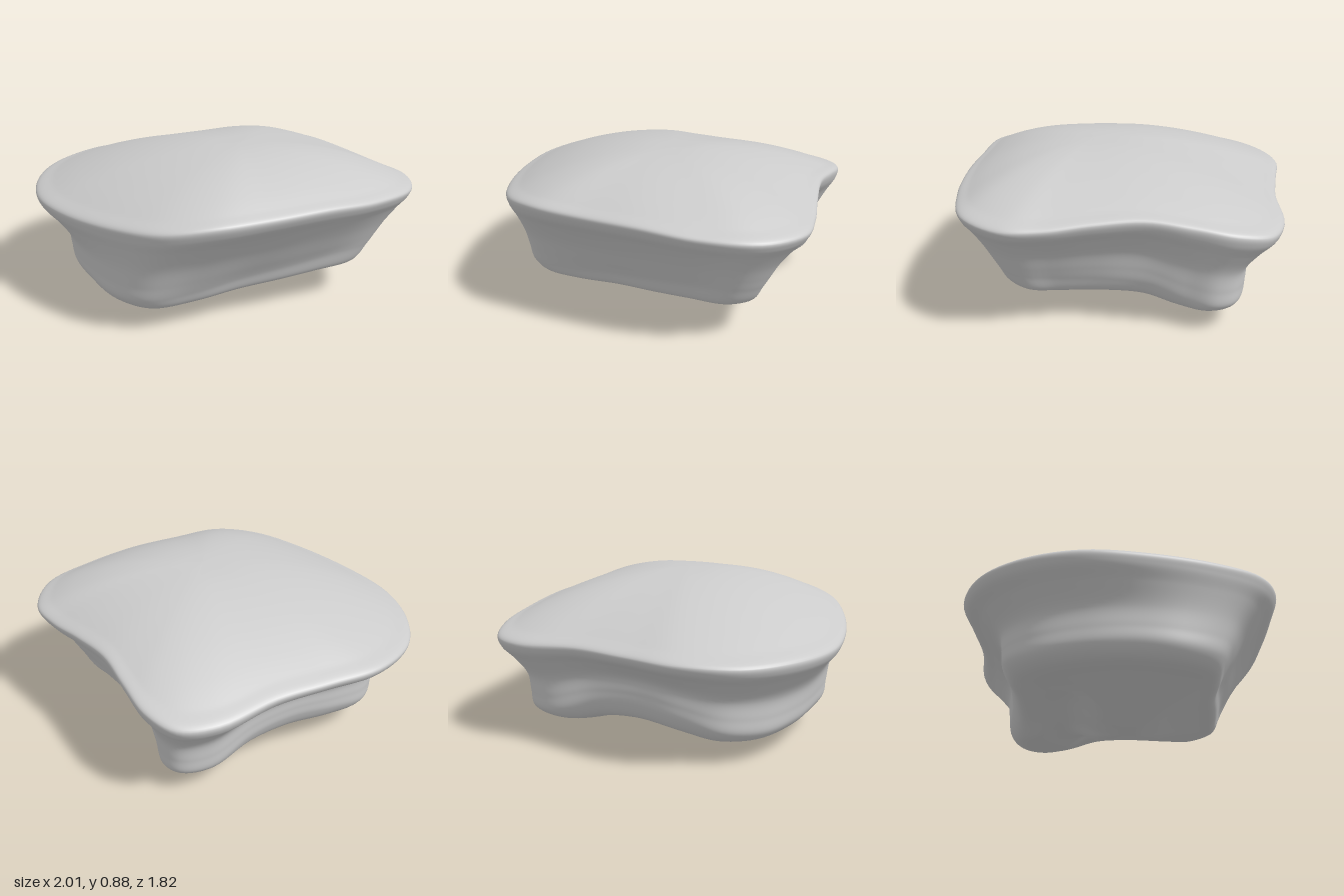
import * as THREE from 'three';
import { mergeVertices } from 'three/addons/utils/BufferGeometryUtils.js';

const V = (x, y, z) => new THREE.Vector3(x, y, z);
const loop = (pts) => new THREE.CatmullRomCurve3(pts.map((p) => V(...p)), true, 'centripetal');

// Outer lip of the stone, running from its left side round the front
const RIM = [
  [.88, .68, 0], [.96, .66, .22], [1, .66, .43], [.88, .67, .67], [.6, .68, .8], [.3, .7, .86],
  [0, .7, .89], [-.3, .7, .9], [-.55, .67, .8], [-.75, .64, .56], [-.93, .61, .2], [-1, .6, -.1],
  [-.95, .6, -.4], [-.8, .6, -.65], [-.52, .61, -.81], [-.22, .61, -.83], [.08, .61, -.845], [.42, .59, -.91],
  [.62, .59, -.86], [.73, .62, -.7], [.77, .66, -.48], [.8, .69, -.25],
];
// Lower ledge where the side walls turn under, station for station with the lip
const LEDGE = [
  [.64, .28, 0], [.71, .29, .25], [.77, .31, .42], [.69, .33, .56], [.45, .31, .58], [.2, .28, .58],
  [-.05, .25, .57], [-.33, .22, .59], [-.58, .2, .57], [-.72, .19, .4], [-.79, .2, .15], [-.81, .19, -.1],
  [-.76, .18, -.35], [-.62, .2, -.53], [-.4, .25, -.6], [-.12, .28, -.62], [.13, .25, -.65], [.38, .17, -.71],
  [.55, .16, -.68], [.61, .16, -.58], [.59, .18, -.42], [.59, .25, -.22],
];
const TOP = V(.08, .88, .18);
const BOTTOM = V(-.04, 0, .05);

// Vertical profile through one station: dome, lip, wall, ledge, belly
function profile(rim, ledge) {
  const fullness = 2.1 + .1 * rim.x + .25 * rim.z;
  const dome = (f) => {
    const p = TOP.clone().lerp(rim, f);
    p.y = THREE.MathUtils.lerp(TOP.y, rim.y, f ** fullness);
    return p;
  };
  // walls are more undercut at the back and right than at the front and left
  const tuck = .74 - .06 * rim.x - .16 * rim.z;
  const wall = (h, v) => {
    const p = rim.clone().lerp(ledge, h);
    p.y = THREE.MathUtils.lerp(rim.y, ledge.y, v);
    return p;
  };
  // the belly sinks steadily, apart from a hollow behind the back feet
  const hollow = .12 * THREE.MathUtils.clamp(-ledge.z / .5, 0, 1);
  const under = (f, drop, floor = 0) => {
    const p = BOTTOM.clone().lerp(ledge, f);
    p.y = Math.max(ledge.y * drop, floor);
    return p;
  };
  return new THREE.CatmullRomCurve3([
    TOP, dome(.2), dome(.4), dome(.6), dome(.78), dome(.91), rim,
    wall(.06, .12), wall(tuck * .5, .3), wall(tuck, .56), wall(.55 + tuck * .45, .8), ledge,
    under(.92, .68), under(.75, .56, hollow * .85), under(.5, .36, hollow),
    under(.25, .13), under(.1, .02), BOTTOM,
  ], false, 'centripetal');
}

function stoneGeometry(cols = 132, rows = 136) {
  const rim = loop(RIM), ledge = loop(LEDGE);
  const pos = [], index = [];
  for (let i = 0; i < cols; i++) {
    const t = i / cols;
    for (const p of profile(rim.getPoint(t), ledge.getPoint(t)).getPoints(rows)) pos.push(p.x, p.y, p.z);
  }
  const id = (i, j) => (i % cols) * (rows + 1) + j;
  for (let i = 0; i < cols; i++) {
    for (let j = 0; j < rows; j++) {
      const a = id(i, j), b = id(i + 1, j), c = id(i, j + 1), d = id(i + 1, j + 1);
      if (j > 0) index.push(a, b, c);
      if (j < rows - 1) index.push(b, d, c);
    }
  }
  let geo = new THREE.BufferGeometry();
  geo.setAttribute('position', new THREE.Float32BufferAttribute(pos, 3));
  geo.setIndex(index);
  geo = mergeVertices(geo, 1e-5); // weld the poles
  geo.computeVertexNormals();
  return geo;
}

export function createModel() {
  const group = new THREE.Group();
  group.name = 'flatToppedStone';
  const stone = new THREE.Mesh(stoneGeometry(), new THREE.MeshStandardMaterial({ color: 0xcccccc }));
  stone.name = 'stone';
  group.add(stone);
  return group;
}
